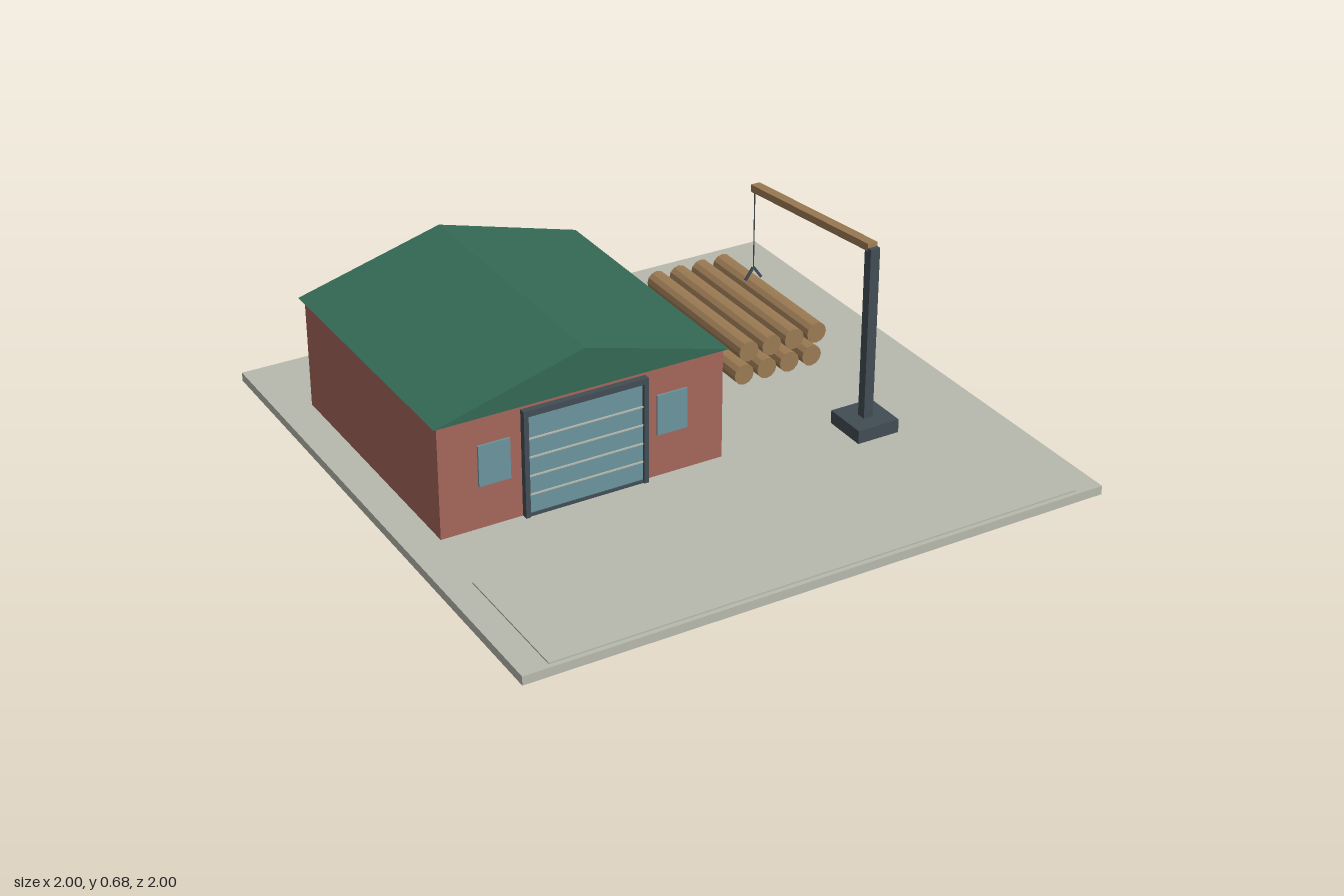
import * as THREE from 'three';

const mat = (name, color, extra = {}) => {
  const m = new THREE.MeshStandardMaterial({ color, ...extra });
  m.name = name;
  return m;
};

export function createModel() {
  const concrete = mat('concrete', 0xb8b9ad);
  const brick = mat('brick', 0xa56659);
  const roofGreen = mat('roof green', 0x346955);
  const steel = mat('dark steel', 0x414d54);
  const glass = mat('blue panel', 0x6c949e);
  const wood = mat('timber', 0x9c7b54, { flatShading: true });

  const model = new THREE.Group();
  model.name = 'timberYard';

  const add = (parent, name, geometry, material, x, y, z) => {
    const mesh = new THREE.Mesh(geometry, material);
    mesh.name = name;
    mesh.position.set(x, y, z);
    parent.add(mesh);
    return mesh;
  };
  // Box given by its extents along each axis
  const box = (parent, name, material, [x0, x1], [y0, y1], [z0, z1]) =>
    add(parent, name, new THREE.BoxGeometry(x1 - x0, y1 - y0, z1 - z0), material,
      (x0 + x1) / 2, (y0 + y1) / 2, (z0 + z1) / 2);
  const group = (name, x = 0) => {
    const g = new THREE.Group();
    g.name = name;
    g.position.x = x;
    model.add(g);
    return g;
  };

  // Ground slab and the slightly raised apron along the front
  box(model, 'groundSlab', concrete, [-1, 1], [0, 0.03], [-1, 1]);
  box(model, 'frontApron', concrete, [-0.91, 0.91], [0.03, 0.035], [0.52, 0.985]);

  // Shed walls and gabled roof, centred on the ridge
  const shed = group('shed', -0.4);
  box(shed, 'walls', brick, [-0.486, 0.486], [0.03, 0.414], [-0.685, 0.263]);
  const gable = new THREE.Shape([
    new THREE.Vector2(-0.5, 0.412),
    new THREE.Vector2(0.5, 0.412),
    new THREE.Vector2(0, 0.55),
  ]);
  add(shed, 'roof', new THREE.ExtrudeGeometry(gable, { depth: 0.98, bevelEnabled: false }),
    roofGreen, 0, 0, -0.703);

  // Sectional door in its frame
  box(shed, 'doorPanel', glass, [-0.198, 0.198], [0.04, 0.375], [0.26, 0.275]);
  box(shed, 'doorLintel', steel, [-0.212, 0.212], [0.375, 0.395], [0.26, 0.285]);
  box(shed, 'doorSill', steel, [-0.196, 0.196], [0.03, 0.04], [0.26, 0.28]);
  for (const s of [-1, 1]) {
    const jamb = box(shed, 'doorJamb', steel, [-0.008, 0.008], [0.03, 0.375], [0.26, 0.285]);
    jamb.position.x = s * 0.204;
    const pane = box(shed, 'window', glass, [-0.053, 0.053], [0.176, 0.314], [0.262, 0.27]);
    pane.position.x = s * 0.304;
  }
  for (let i = 0; i < 4; i++) {
    const y = 0.104 + i * 0.064;
    box(shed, 'doorSeam', concrete, [-0.196, 0.196], [y - 0.0025, y + 0.0025], [0.274, 0.279]);
  }

  // Log pile: two staggered rows of four
  const pile = group('logPile');
  const logGeometry = new THREE.CylinderGeometry(0.037, 0.037, 0.598, 12).rotateX(Math.PI / 2);
  for (let row = 0; row < 2; row++) {
    for (let i = 0; i < 4; i++) {
      add(pile, 'log', logGeometry, wood, 0.387 + i * 0.0875 + row * 0.017, 0.073 + row * 0.081, -0.387);
    }
  }

  // Crane: foot, mast and sloping boom
  const crane = group('crane', 0.574);
  box(crane, 'craneFoot', steel, [-0.076, 0.076], [0.03, 0.076], [0.258, 0.414]);
  box(crane, 'mast', steel, [-0.017, 0.017], [0.076, 0.668], [0.322, 0.355]);
  const from = new THREE.Vector3(0, 0.67, 0.339);
  const to = new THREE.Vector3(0, 0.605, -0.336);
  const boom = add(crane, 'boom', new THREE.BoxGeometry(0.034, 0.025, from.distanceTo(to)), wood,
    0, (from.y + to.y) / 2, (from.z + to.z) / 2);
  boom.rotation.x = -Math.atan2(from.y - to.y, from.z - to.z);

  // Hoist cable with a two-armed grab
  add(crane, 'cable', new THREE.CylinderGeometry(0.002, 0.002, 0.3, 6), steel, 0, 0.455, -0.338);
  for (const s of [-1, 1]) {
    const arm = add(crane, 'grabArm', new THREE.BoxGeometry(0.008, 0.05, 0.008), steel,
      s * 0.016, 0.29, -0.338);
    arm.rotation.z = s * 0.62;
  }

  return model;
}
